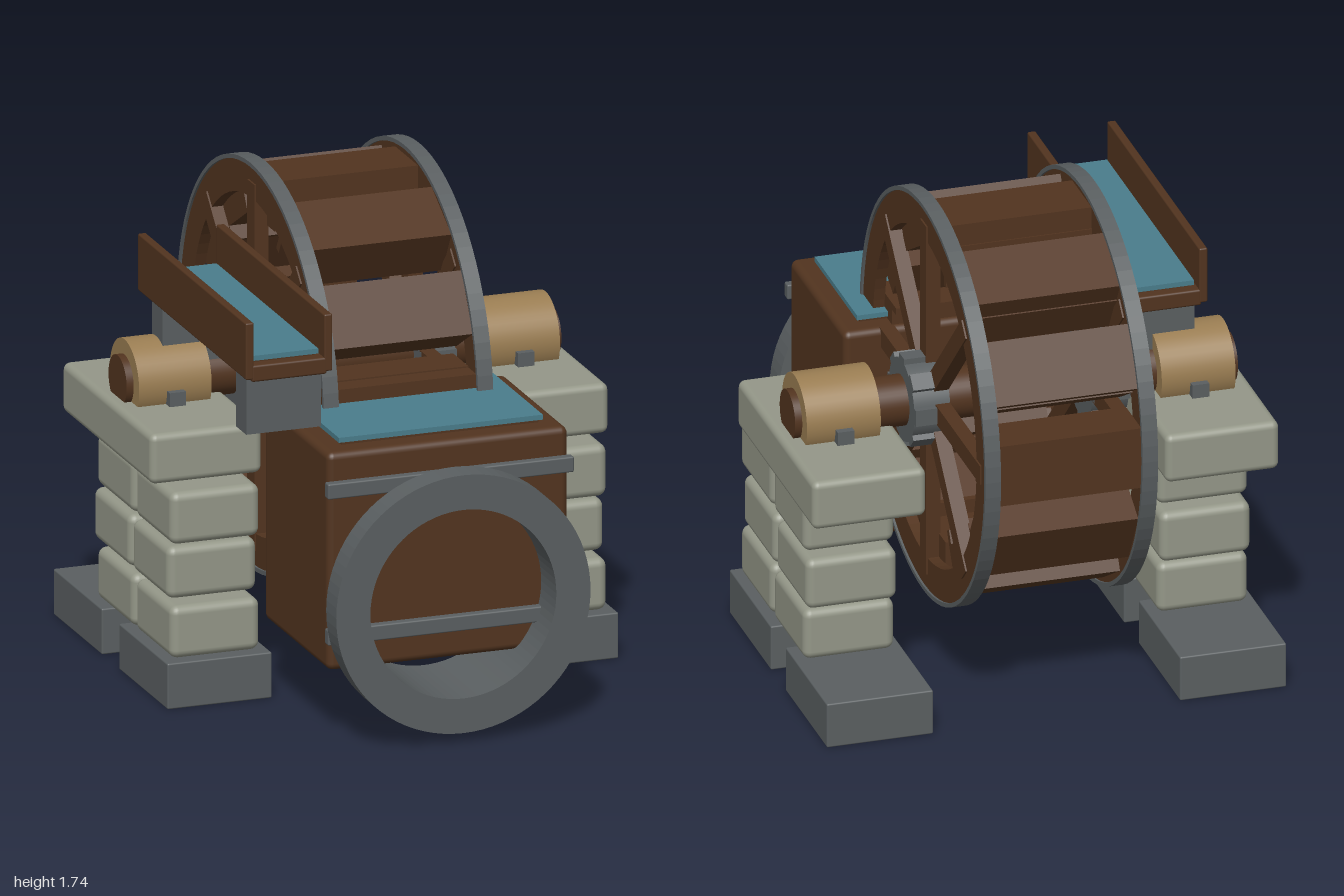
import * as THREE from 'three';
import { RoundedBoxGeometry } from 'three/addons/geometries/RoundedBoxGeometry.js';

const mat = (name, color) => {
  const m = new THREE.MeshStandardMaterial({ color });
  m.name = name;
  return m;
};

export function createModel() {
  const wood = mat('dark wood', 0x52341f);
  const iron = mat('iron grey', 0x5a5f61);
  const stone = mat('pale stone', 0x949788);
  const brass = mat('tan bearing', 0x9a7d52);
  const water = mat('water blue', 0x4a7d8c);

  const model = new THREE.Group();
  model.name = 'waterMill';

  const add = (parent, name, geo, material, x = 0, y = 0, z = 0) => {
    const m = new THREE.Mesh(geo, material);
    m.name = name;
    m.position.set(x, y, z);
    parent.add(m);
    return m;
  };
  // Box given by its limits on each axis, optionally with rounded edges
  const block = (parent, name, material, [x0, x1], [y0, y1], [z0, z1], r = 0) => {
    const s = [x1 - x0, y1 - y0, z1 - z0];
    const geo = r ? new RoundedBoxGeometry(...s, 3, r) : new THREE.BoxGeometry(...s);
    return add(parent, name, geo, material, (x0 + x1) / 2, (y0 + y1) / 2, (z0 + z1) / 2);
  };
  // Flat ring extruded along z and centred on its depth
  const ring = (outer, inner, depth) => {
    const s = new THREE.Shape().absarc(0, 0, outer, 0, Math.PI * 2);
    s.holes.push(new THREE.Path().absarc(0, 0, inner, 0, Math.PI * 2, true));
    return new THREE.ExtrudeGeometry(s, { depth, bevelEnabled: false, curveSegments: 40 })
      .translate(0, 0, -depth / 2);
  };
  const xCylinder = (r, len) => new THREE.CylinderGeometry(r, r, len, 40).rotateZ(Math.PI / 2);

  // Wheel: its own frame has the axle along x, at the origin
  const wheel = new THREE.Group();
  wheel.name = 'wheel';
  wheel.position.set(0, 1.01, -0.27);
  model.add(wheel);
  add(wheel, 'axle', xCylinder(0.09, 1.59), wood);

  for (const side of [-1, 1]) {
    const x = side * 0.282;
    add(wheel, 'ironTyre', ring(0.73, 0.715, 0.056).rotateY(Math.PI / 2), iron, x);
    add(wheel, 'woodenRim', ring(0.716, 0.6, 0.04).rotateY(Math.PI / 2), wood, x);
    add(wheel, 'hub', xCylinder(0.148, 0.13), iron, side * 0.32);
    for (let i = 0; i < 8; i++) {
      const arm = new THREE.Group();
      arm.name = 'spokeArm';
      arm.rotation.x = i * Math.PI / 4;
      wheel.add(arm);
      block(arm, 'spoke', wood, [x - 0.026, x + 0.026], [0.08, 0.66], [-0.035, 0.035]);
      add(arm, 'hubLug', new THREE.BoxGeometry(0.13, 0.03, 0.06), iron, side * 0.32, 0.15, 0);
    }
    // Bearing and its iron saddle
    add(wheel, 'bearing', xCylinder(0.145, 0.265), brass, side * 0.637);
    add(wheel, 'bearingStrap', new THREE.BoxGeometry(0.06, 0.07, 0.34), iron, side * 0.637, -0.045, 0);
  }

  // Buckets
  for (let i = 0; i < 12; i++) {
    const bucket = new THREE.Group();
    bucket.name = 'bucket';
    bucket.rotation.x = i * Math.PI / 6;
    wheel.add(bucket);
    block(bucket, 'bucketBoard', wood, [-0.262, 0.262], [0.51, 0.69], [-0.113, 0.113]);
    block(bucket, 'bucketLip', wood, [-0.262, 0.262], [0.46, 0.61], [-0.118, -0.092]);
  }

  // Stone piers
  for (const side of [-1, 1]) {
    const pier = new THREE.Group();
    pier.name = side > 0 ? 'leftPier' : 'rightPier';
    model.add(pier);
    const span = (a, b) => (side > 0 ? [a, b] : [-b, -a]);
    block(pier, 'capStone', stone, span(0.43, 0.838), [0.77, 0.95], [-0.707, 0.177], 0.025);
    for (let row = 0; row < 3; row++) {
      const y = 0.165 + row * 0.205, shift = row === 1 ? -0.032 : 0;
      for (const z of [-0.475, -0.092]) {
        block(pier, 'stone', stone, span(0.472, 0.798), [y, y + 0.188],
          [z + shift, z + shift + 0.363], 0.03);
      }
    }
    for (const z of [-0.825, -0.175]) {
      block(pier, 'footing', iron, span(0.443, 0.825), [0, 0.165], [z, z + 0.48], 0.006);
    }
  }

  // Water tank with straps
  block(model, 'tank', wood, [-0.44, 0.44], [0.26, 1.045], [0.218, 0.85], 0.025);
  block(model, 'tankWater', water, [-0.373, 0.373], [1.056, 1.074], [0.285, 0.778]);
  block(model, 'tankWaterBed', wood, [-0.36, 0.36], [1.04, 1.057], [0.295, 0.768]);
  for (const y of [0.917, 0.39]) {
    block(model, 'tankStrap', iron, [-0.45, 0.45], [y - 0.028, y + 0.028], [0.845, 0.88], 0.006);
  }

  // Round pipe mouth in front of the tank
  add(model, 'pipeFlange', ring(0.465, 0.34, 0.1), iron, 0, 0.5, 0.95);
  add(model, 'pipe', ring(0.39, 0.34, 0.3), iron, 0, 0.5, 0.755);

  // Raised flume
  const flume = new THREE.Group();
  flume.name = 'flume';
  model.add(flume);
  block(flume, 'flumeFloor', wood, [-0.655, -0.38], [1.275, 1.335], [-0.39, 0.68], 0.008);
  for (const x of [-0.662, -0.375]) {
    block(flume, 'flumeWall', wood, [x - 0.015, x + 0.015], [1.285, 1.49], [-0.39, 0.68], 0.006);
  }
  block(flume, 'flumeWater', water, [-0.637, -0.4], [1.342, 1.36], [-0.36, 0.648]);
  block(flume, 'flumeWaterBed', wood, [-0.63, -0.41], [1.33, 1.343], [-0.35, 0.638]);
  for (const z of [0.572, -0.255]) {
    block(flume, 'flumeSupport', iron, [-0.655, -0.382], [1.07, 1.28], [z - 0.052, z + 0.052]);
  }
  return model;
}
